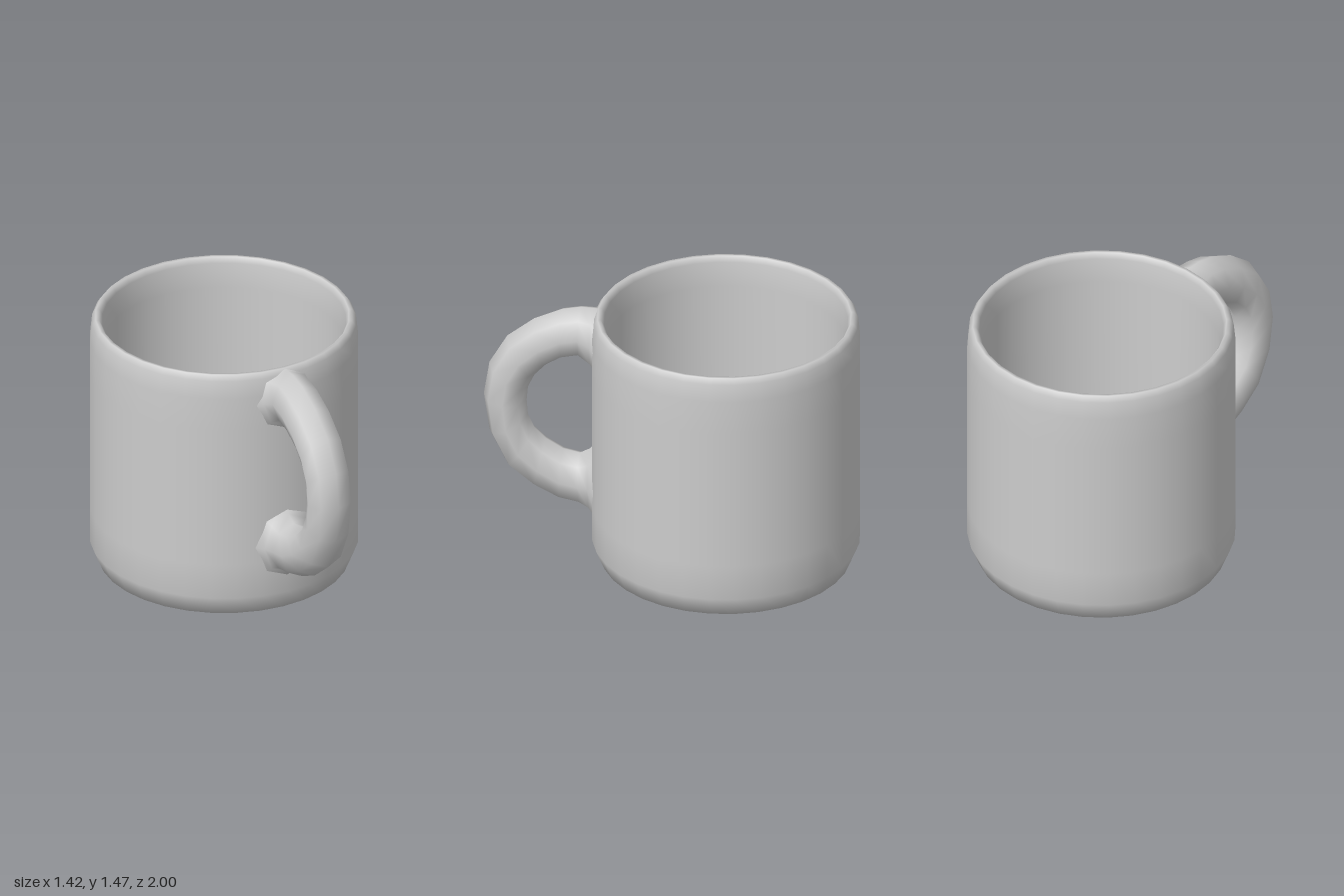
import * as THREE from 'three';

const BODY_Z = -0.29;

export function createModel() {
  const model = new THREE.Group();
  model.name = 'mug';
  const glaze = new THREE.MeshStandardMaterial({ color: 0xcccccc });
  glaze.name = 'grey glaze';

  const add = (name, geometry) => {
    const mesh = new THREE.Mesh(geometry, glaze);
    mesh.name = name;
    model.add(mesh);
    return mesh;
  };

  // Cup wall: base, outer side, rounded rim, inner side and bowl floor
  const profile = [
    [0, 0], [0.52, 0], [0.665, 0.04], [0.71, 0.15], [0.71, 0.35], [0.71, 1.15],
    [0.71, 1.34], [0.7, 1.44], [0.68, 1.47], [0.662, 1.47], [0.645, 1.44],
    [0.638, 1.3], [0.636, 0.5], [0.63, 0.32], [0.58, 0.17], [0.46, 0.1], [0, 0.08],
  ].map(([r, y]) => new THREE.Vector2(r, y));
  add('cup', new THREE.LatheGeometry(profile, 32)).position.z = BODY_Z;

  add('handle', handleGeometry());
  return model;
}

// Handle: eight-sided sections lofted along a C, flared where they join the cup
function handleGeometry() {
  const SIDES = 8;
  // outer z, outer y, inner z, inner y, half width
  const stations = [
    [0.37, 1.465, 0.37, 1.08, 0.2],
    [0.42, 1.468, 0.425, 1.135, 0.142],
    [0.485, 1.47, 0.49, 1.185, 0.125],
    [0.585, 1.45, 0.58, 1.165, 0.125],
    [0.73, 1.385, 0.67, 1.11, 0.125],
    [0.875, 1.27, 0.73, 1.045, 0.125],
    [0.97, 1.105, 0.765, 0.97, 0.125],
    [1.0, 0.915, 0.772, 0.89, 0.125],
    [0.97, 0.7, 0.765, 0.805, 0.125],
    [0.875, 0.505, 0.73, 0.725, 0.125],
    [0.73, 0.39, 0.67, 0.665, 0.125],
    [0.59, 0.32, 0.58, 0.61, 0.125],
    [0.485, 0.3, 0.49, 0.59, 0.125],
    [0.43, 0.265, 0.435, 0.62, 0.142],
    [0.37, 0.18, 0.37, 0.7, 0.2],
  ];
  const positions = [];
  const index = [];
  stations.forEach(([oz, oy, iz, iy, w], i) => {
    for (let j = 0; j < SIDES; j++) {
      const a = (j / SIDES) * Math.PI * 2;
      const t = (1 + Math.cos(a)) / 2;
      positions.push(w * Math.sin(a), iy + (oy - iy) * t, iz + (oz - iz) * t);
      if (i === stations.length - 1) continue;
      const p = i * SIDES + j;
      const q = i * SIDES + ((j + 1) % SIDES);
      index.push(p, p + SIDES, q, q, p + SIDES, q + SIDES);
    }
  });
  const geometry = new THREE.BufferGeometry();
  geometry.setAttribute('position', new THREE.Float32BufferAttribute(positions, 3));
  geometry.setIndex(index);
  geometry.computeVertexNormals();
  return geometry;
}
